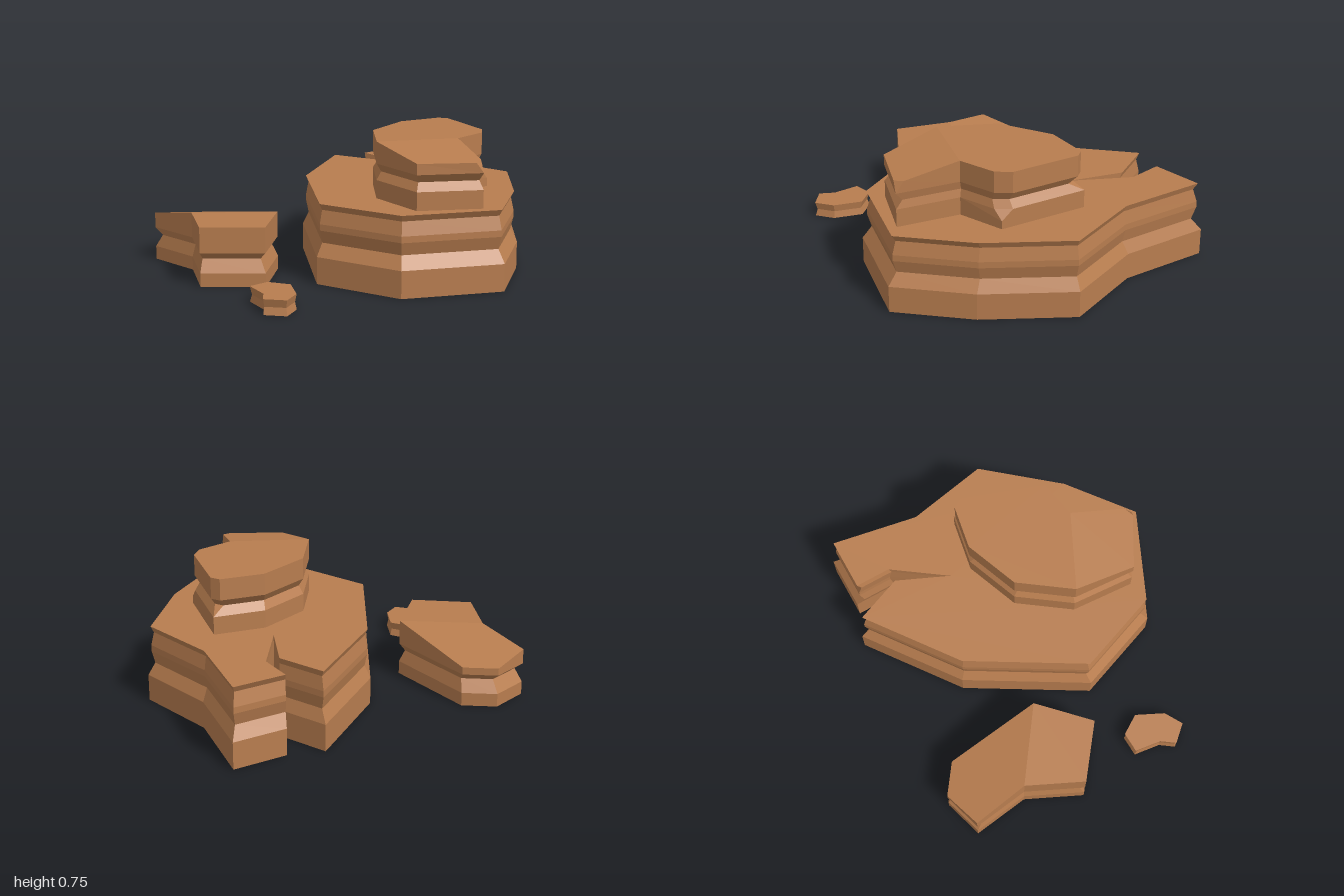
import * as THREE from 'three';

const material = new THREE.MeshStandardMaterial({ color: 0xb87d4f, flatShading: true, roughness: 1 });

// Outline of [x, z] points scaled about a centre and lifted to height y (a number or a rule of x, z, index).
function ring(outline, [cx, cz], y, scale = 1) {
  return outline.map(([x, z], i) => new THREE.Vector3(
    cx + (x - cx) * scale, typeof y === 'function' ? y(x, z, i) : y, cz + (z - cz) * scale));
}

// Skin a stack of rings; the top may be folded along the line from point 0 to point `fold`.
function strata(name, rings, fold) {
  const pos = [];
  const tri = (a, b, c) => { for (const p of [a, b, c]) pos.push(p.x, p.y, p.z); };
  const cap = (pts, up) => {
    const flat = pts.map(p => new THREE.Vector2(p.x, p.z));
    for (const [a, b, c] of THREE.ShapeUtils.triangulateShape(flat, [])) {
      if (up) tri(pts[a], pts[c], pts[b]); else tri(pts[a], pts[b], pts[c]);
    }
  };
  const n = rings[0].length;
  for (let k = 0; k + 1 < rings.length; k++) {
    const a = rings[k], b = rings[k + 1];
    for (let i = 0; i < n; i++) {
      const j = (i + 1) % n;
      tri(a[i], b[i], b[j]);
      tri(a[i], b[j], a[j]);
    }
  }
  cap(rings[0], false);
  const top = rings[rings.length - 1];
  if (fold) {
    cap(top.slice(0, fold + 1), true);
    cap([...top.slice(fold), top[0]], true);
  } else cap(top, true);

  const geometry = new THREE.BufferGeometry();
  geometry.setAttribute('position', new THREE.Float32BufferAttribute(pos, 3));
  geometry.computeVertexNormals();
  const mesh = new THREE.Mesh(geometry, material);
  mesh.name = name;
  return mesh;
}

// Wide base with a cleft at the back
function baseRock() {
  const outline = [[0.26, -0.84], [0.43, -0.6], [0.37, -0.28], [0.51, -0.62], [0.46, -0.82],
    [0.76, -0.89], [0.79, -0.38], [0.995, 0.06], [0.755, 0.53], [0.46, 0.887],
    [-0.09, 0.775], [-0.375, 0.345], [-0.155, -0.355]];
  const layers = [[0, 1], [0.15, 1], [0.22, 0.94], [0.29, 0.965], [0.325, 0.965], [0.4, 0.94], [0.435, 0.965]];
  return strata('baseRock', layers.map(([y, s]) => ring(outline, [0.31, 0], y, s)));
}

// Upper rock with three corners that are chipped off at certain layers
function upperRock() {
  const back = [[0.67, -0.165]], right = [[0.67, 0.335]], front = [[0.38, 0.79]];
  const backCut = [[0.63, -0.163], [0.67, -0.12]];
  const rightCut = [[0.67, 0.27], [0.62, 0.352]];
  const frontCut = [[0.386, 0.745], [0.34, 0.78]];
  const outline = (b, r, f) => [[-0.02, 0.34], [0.11, 0.03], [0.38, -0.15],
    b[0], b[1] ?? b[0], r[0], r[1] ?? r[0], [0.42, 0.44], f[0], f[1] ?? f[0], [0.04, 0.69]];
  const c = [0.32, 0.32];
  const chipped = outline(backCut, rightCut, front);
  const topY = (x, z, i) => (i > 7 ? 0.745 - 0.18 * (z - 0.34 - 0.23 * (x + 0.02)) : 0.745);
  return strata('upperRock', [
    ring(outline(back, right, front), c, 0.43),
    ring(outline(back, right, front), c, 0.48),
    ring(outline(back, rightCut, front), c, 0.535),
    ring(chipped, c, 0.58, 0.917),
    ring(chipped, c, 0.625),
    ring(outline(backCut, rightCut, frontCut), c, topY),
  ], 7);
}

// Separate rock whose top falls away towards the back
function sideRock() {
  const outline = [[-0.885, -0.2], [-1, -0.5], [-0.8, -0.615], [-0.62, -0.54],
    [-0.45, -0.02], [-0.64, 0.275], [-0.955, 0.13]];
  const c = [-0.72, -0.17];
  const topY = (x, z) => 0.325 - 0.237 * Math.max(0, 0.383 * (x + 0.885) - 0.924 * (z + 0.2));
  return strata('sideRock', [
    ring(outline, c, 0), ring(outline, c, 0.075), ring(outline, c, 0.145, 0.89),
    ring(outline, c, 0.185), ring(outline, c, topY),
  ], 4);
}

// Little pinched stone
function smallRock() {
  const outline = [[-0.81, 0.48], [-0.7, 0.45], [-0.608, 0.54], [-0.645, 0.705],
    [-0.73, 0.785], [-0.83, 0.715], [-0.795, 0.63]];
  const c = [-0.72, 0.62];
  return strata('smallRock', [ring(outline, c, 0), ring(outline, c, 0.04, 0.92), ring(outline, c, 0.083)]);
}

export function createModel() {
  const group = new THREE.Group();
  group.name = 'layeredRocks';
  group.add(baseRock(), upperRock(), sideRock(), smallRock());
  return group;
}
